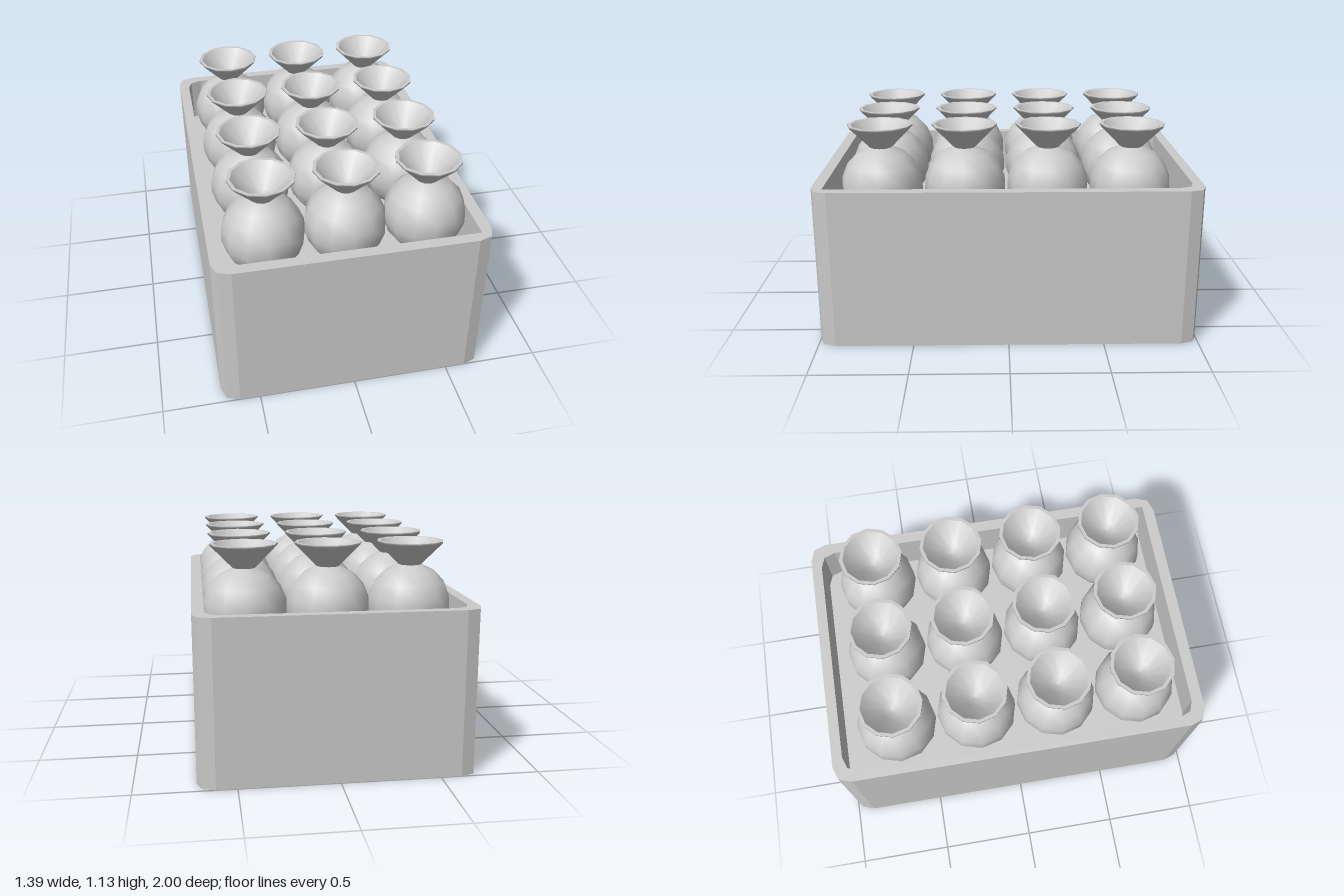
import * as THREE from 'three';

const grey = new THREE.MeshStandardMaterial({ color: 0xcccccc });
const greyDouble = new THREE.MeshStandardMaterial({ color: 0xcccccc, side: THREE.DoubleSide });
const SIDES = 12;

function part(name, geometry, material = grey) {
  const mesh = new THREE.Mesh(geometry, material);
  mesh.name = name;
  return mesh;
}

// Rectangle with two-step bevelled corners; the front left corner can stay square.
function outline(x0, x1, z0, z1, cut, squareCorner = false) {
  const small = cut * 0.26;
  const points = [];
  const corner = (x, y, sx, sy, flip) => {
    const c = [[x, y - sy * cut], [x - sx * small, y - sy * small], [x - sx * cut, y]];
    points.push(...(flip ? c.reverse() : c));
  };
  corner(x1, -z0, 1, 1, false);
  corner(x0, -z0, -1, 1, true);
  corner(x0, -z1, -1, -1, false);
  if (squareCorner) points.push([x1, -z1]);
  else corner(x1, -z1, 1, -1, true);
  return points.map(([x, y]) => new THREE.Vector2(x, y));
}

function upright(shape, depth) {
  return new THREE.ExtrudeGeometry(shape, { depth, bevelEnabled: false }).rotateX(-Math.PI / 2);
}

function lathe(points) {
  return new THREE.LatheGeometry(points.map(([r, y]) => new THREE.Vector2(r, y)), SIDES);
}

// Round body, flared neck, flat rim and hollow funnel
function makeFlask() {
  const flask = new THREE.Group();
  const radius = 0.213, centreY = 0.805;
  const body = [];
  for (let i = 8; i >= 0; i--) {
    const a = THREE.MathUtils.degToRad(16 + i * 20.5);
    body.push([Math.max(0, radius * Math.sin(a)), centreY + radius * Math.cos(a)]);
  }
  flask.add(
    part('flaskBody', lathe(body)),
    part('flaskNeck', lathe([[0.058, 1.01], [0.168, 1.122], [0.168, 1.13]])),
    part('flaskRim', lathe([[0.168, 1.13], [0.15, 1.13]])),
    part('flaskFunnel', lathe([[0.15, 1.13], [0.05, 1.025], [0, 1.015]]), greyDouble)
  );
  return flask;
}

export function createModel() {
  const model = new THREE.Group();

  // Open crate
  const crate = new THREE.Group();
  crate.name = 'crate';
  const inner = outline(-0.64, 0.635, -0.945, 0.94, 0.08, true);
  const walls = new THREE.Shape(outline(-0.695, 0.695, -1, 1, 0.09));
  walls.holes.push(new THREE.Path(inner));
  crate.add(part('crateWalls', upright(walls, 0.84)));
  crate.add(part('crateFloor', upright(new THREE.Shape(inner), 0.595)));
  model.add(crate);

  // Three by four flasks
  for (let row = 0; row < 4; row++) {
    for (let col = 0; col < 3; col++) {
      const flask = makeFlask();
      flask.name = `flask${row * 3 + col + 1}`;
      flask.position.set(-0.405 + col * 0.418, 0, -0.64 + row * 0.433);
      model.add(flask);
    }
  }
  return model;
}
